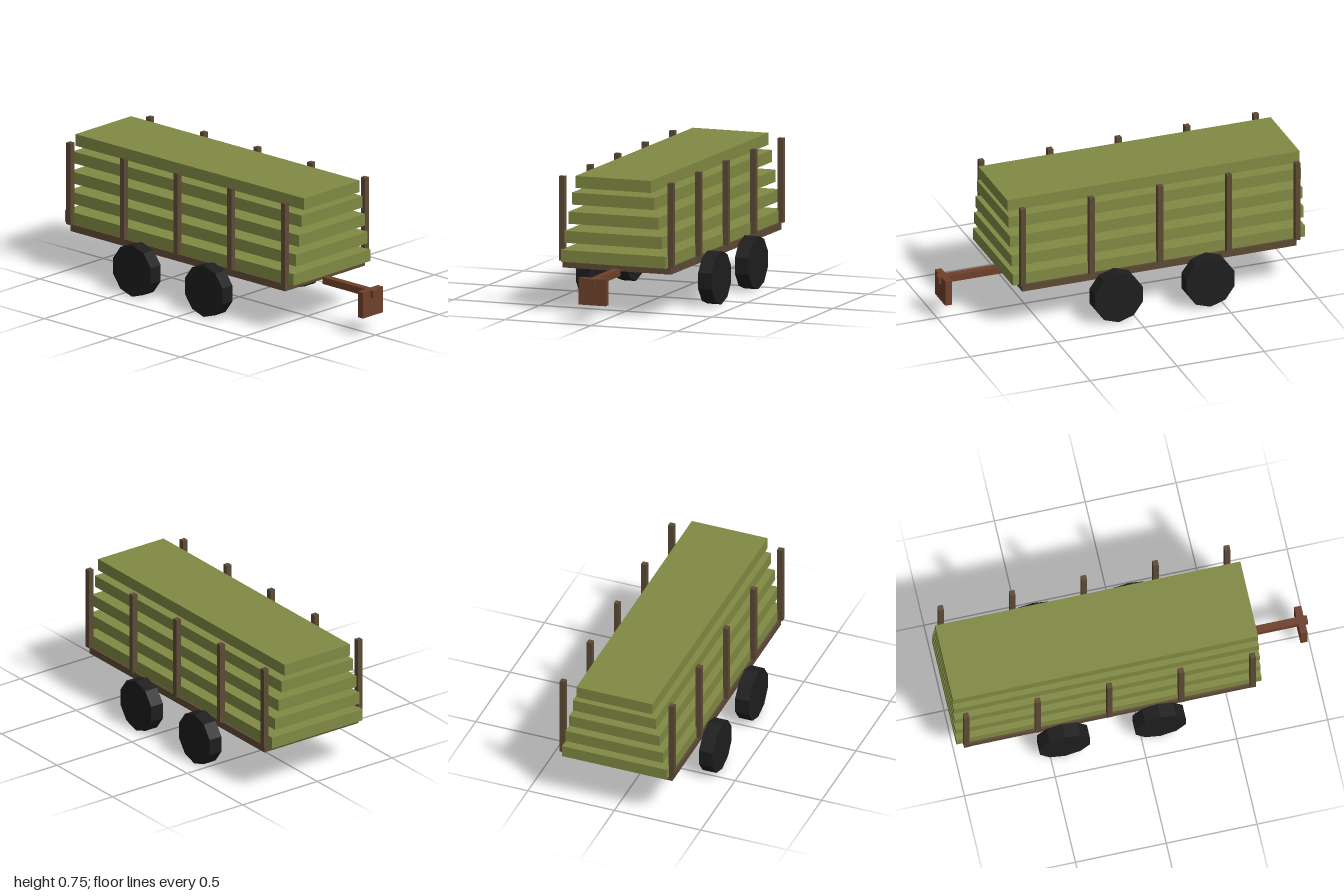
import * as THREE from 'three';

const paint = (color) => new THREE.MeshStandardMaterial({ color, flatShading: true });

export function createModel() {
  const model = new THREE.Group();
  const frameWood = paint(0x5d4a35);
  const hitchWood = paint(0x6e412a);
  const plankGreen = paint(0x808a43);
  const rubber = paint(0x1e1e1e);

  const add = (name, geometry, material, x, y, z) => {
    const mesh = new THREE.Mesh(geometry, material);
    mesh.name = name;
    mesh.position.set(x, y, z);
    model.add(mesh);
  };

  // Box given by its limits on each axis
  const box = (name, material, [x0, x1], [y0, y1], [z0, z1]) =>
    add(name, new THREE.BoxGeometry(x1 - x0, y1 - y0, z1 - z0), material,
      (x0 + x1) / 2, (y0 + y1) / 2, (z0 + z1) / 2);

  // Flat bed
  box('bed', frameWood, [-0.947, 0.63], [0.239, 0.278], [-0.315, 0.315]);

  // Stacked plank layers, narrower towards the top
  [0.278, 0.383, 0.488, 0.594, 0.686].forEach((y, i) => {
    const halfWidth = 0.303 - i * 0.021;
    box('plankLayer', plankGreen, [-1, 0.68], [y, y + 0.0655], [-halfWidth, halfWidth]);
  });

  // Ten-sided wheels, a vertex pointing straight up
  const wheel = new THREE.CylinderGeometry(0.145, 0.145, 0.079, 10).rotateX(Math.PI / 2);

  for (const side of [1, -1]) {
    // Side stakes
    for (let i = 0; i < 5; i++) {
      add('stake', new THREE.BoxGeometry(0.03, 0.46, 0.031), frameWood,
        -0.949 + i * 0.3943, 0.508, side * 0.315);
    }
    for (const x of [-0.422, 0.105]) add('wheel', wheel, rubber, x, 0.145, side * 0.3545);
  }

  // Drawbar and its end plate
  box('drawbar', hitchWood, [0.63, 1], [0.213, 0.252], [-0.02, 0.02]);
  box('hitchPlate', hitchWood, [0.945, 0.983], [0.107, 0.252], [-0.079, 0.079]);

  return model;
}
